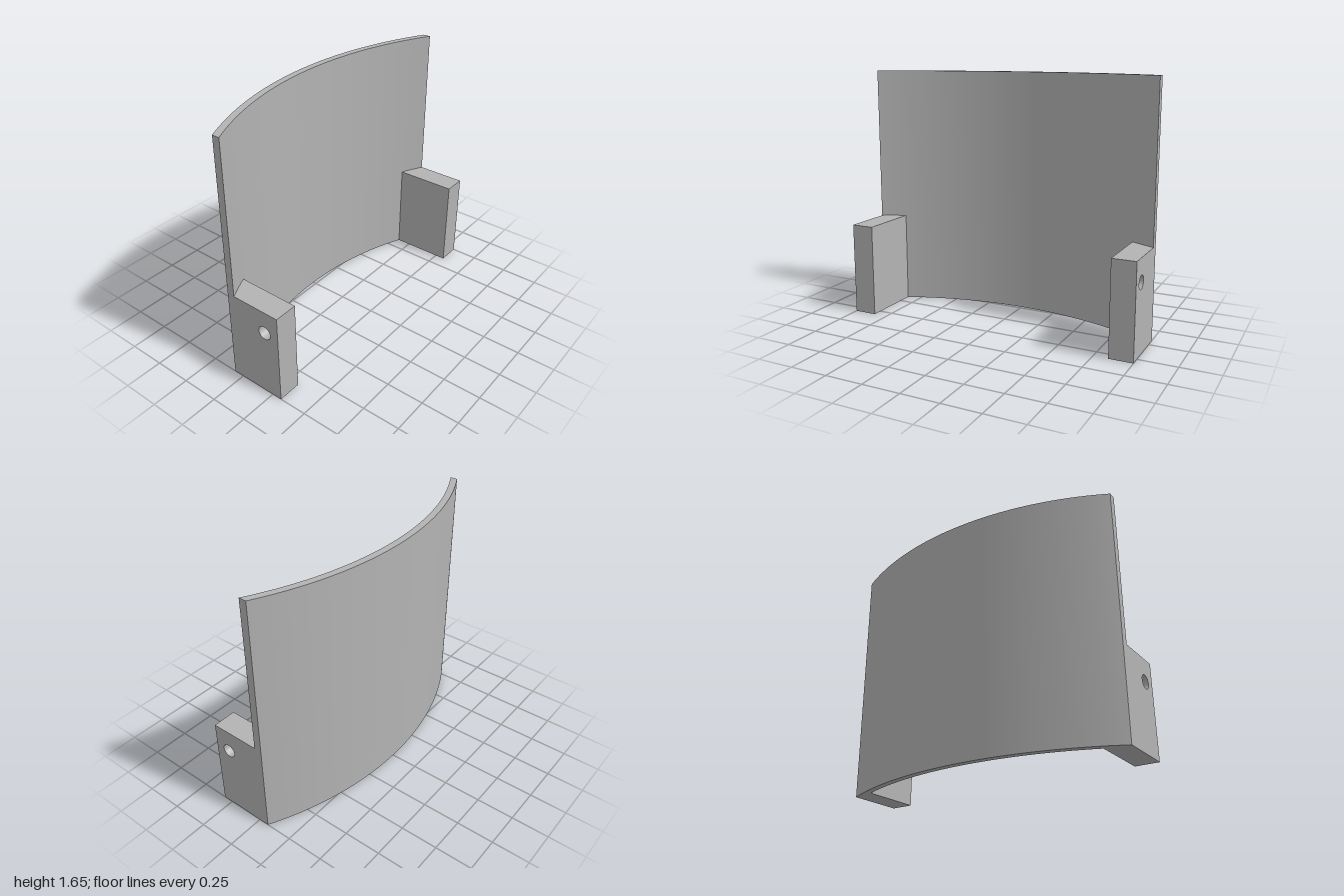
import * as THREE from 'three';
import { toCreasedNormals } from 'three/addons/utils/BufferGeometryUtils.js';

const grey = new THREE.MeshStandardMaterial({ color: 0xb3b3b3 });
grey.name = 'plain grey';

const HEIGHT = 1.65;
const OUTER_R = 2.148, INNER_R = 2.103, ARC_Z = 1.831; // concentric arcs about z = ARC_Z
const FRONT_Z = 0.317, BLOCK_H = 0.618;
const BLOCK_IN = 0.845, HOLE_END = 0.9; // x of the block's inner face and of the hole floor

const innerZ = (x) => ARC_Z - Math.sqrt(INNER_R ** 2 - x ** 2);

function addMesh(parent, geometry, name) {
  const mesh = new THREE.Mesh(toCreasedNormals(geometry, Math.PI / 6), grey);
  mesh.name = name;
  parent.add(mesh);
}

// Curved sheet, cut flat at x = -1 and x = 1
function curvedPanel() {
  const a = Math.acos(1 / OUTER_R), b = Math.acos(1 / INNER_R);
  const shape = new THREE.Shape();
  shape.absarc(0, -ARC_Z, OUTER_R, a, Math.PI - a, false);
  shape.absarc(0, -ARC_Z, INNER_R, Math.PI - b, b, true);
  shape.closePath();
  return new THREE.ExtrudeGeometry(shape, { depth: HEIGHT, bevelEnabled: false, curveSegments: 48 })
    .rotateX(-Math.PI / 2);
}

// Slab of a mounting block between two x values, its back following the panel
function blockSlab(x0, x1, withHole) {
  const back = 0.02; // replaced below by the panel's own z
  const shape = new THREE.Shape();
  shape.moveTo(-FRONT_Z, 0);
  shape.lineTo(back, 0);
  shape.lineTo(back, BLOCK_H);
  shape.lineTo(-FRONT_Z, BLOCK_H);
  shape.closePath();
  if (withHole) shape.holes.push(new THREE.Path().absarc(-0.214, 0.465, 0.045, 0, Math.PI * 2, true));
  const geometry = new THREE.ExtrudeGeometry(shape, { depth: x1 - x0, bevelEnabled: false, curveSegments: 32 })
    .rotateY(Math.PI / 2).translate(x0, 0, 0);
  const p = geometry.attributes.position;
  for (let i = 0; i < p.count; i++) {
    if (p.getZ(i) < 0) p.setZ(i, innerZ(p.getX(i)) - 0.003);
  }
  geometry.computeVertexNormals();
  return geometry;
}

export function createModel() {
  const model = new THREE.Group();
  model.name = 'curvedShield';
  addMesh(model, curvedPanel(), 'curvedPanel');

  // Mounting blocks with blind holes in their outer faces
  for (const side of [1, -1]) {
    const block = new THREE.Group();
    block.name = side > 0 ? 'leftMountingBlock' : 'rightMountingBlock';
    const slab = (a, b, hole) => blockSlab(Math.min(a * side, b * side), Math.max(a * side, b * side), hole);
    addMesh(block, slab(HOLE_END, 1, true), 'drilledOuterHalf');
    addMesh(block, slab(BLOCK_IN, HOLE_END, false), 'solidInnerHalf');
    model.add(block);
  }
  return model;
}
